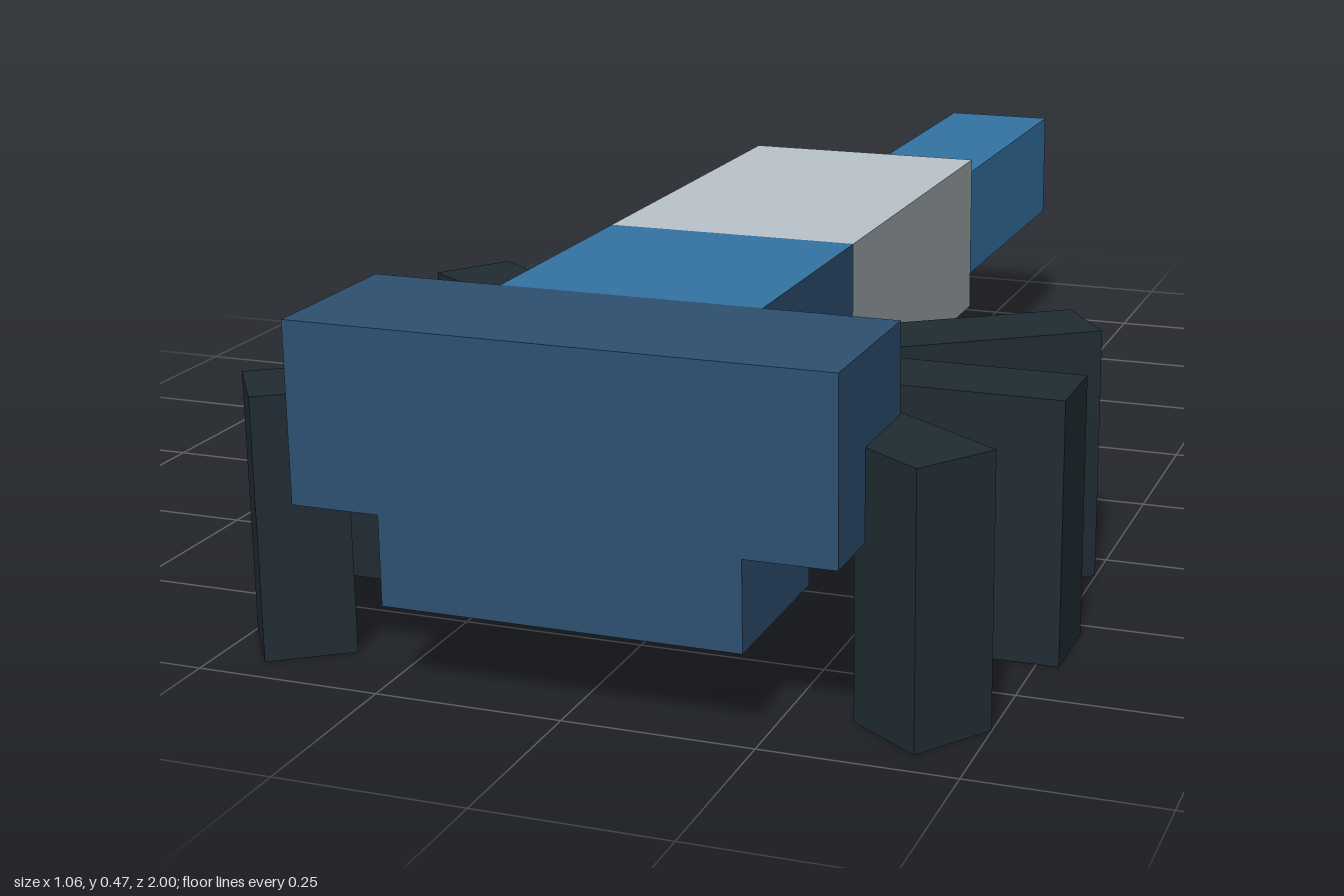
import * as THREE from 'three';

const U = 1 / 17; // modelling unit
const mat = (name, color) => {
  const m = new THREE.MeshStandardMaterial({ color });
  m.name = name;
  return m;
};

// Box from minimum and maximum corners, in modelling units
function box(name, [x0, y0, z0], [x1, y1, z1], material) {
  const geo = new THREE.BoxGeometry((x1 - x0) * U, (y1 - y0) * U, (z1 - z0) * U);
  const mesh = new THREE.Mesh(geo, material);
  mesh.name = name;
  mesh.position.set((x0 + x1) / 2 * U, (y0 + y1) / 2 * U, (z0 + z1) / 2 * U);
  return mesh;
}

// Leg that reaches out along +x and then bends straight down
function leg(name, material) {
  const g = new THREE.Group();
  g.name = name;
  g.add(box('upperLeg', [0, 4, -1], [6, 6, 1], material));
  g.add(box('lowerLeg', [4, 0, -1], [6, 4, 1], material));
  return g;
}

export function createModel() {
  const navy = mat('navy', 0x2d4f70);
  const blue = mat('blue', 0x3473a3);
  const paleGrey = mat('paleGrey', 0xb9c3c9);
  const midGrey = mat('midGrey', 0x9aa2a5);
  const charcoal = mat('charcoal', 0x202b32);
  const model = new THREE.Group();
  model.name = 'crawler';

  // Wide head with a narrower jaw
  model.add(box('head', [-6, 4, 13], [6, 8, 17], navy));
  model.add(box('jaw', [-4, 2, 13], [4, 4, 17], navy));

  // Thorax with a brighter top, grey back section with a paler top
  model.add(box('thorax', [-3, 2, 7], [3, 8, 13], [navy, navy, blue, navy, navy, navy]));
  model.add(box('abdomen', [-3, 4, -3], [3, 8, 7],
    [midGrey, midGrey, paleGrey, midGrey, midGrey, midGrey]));

  // Long tail running under the abdomen
  model.add(box('tail', [-1.5, 3.5, -17], [1.5, 6.5, 7], blue));

  // Three legs on each side, the outer pairs splayed
  const splay = THREE.MathUtils.degToRad(35);
  const rows = [['front', 12, -splay], ['middle', 10, 0], ['rear', 8, splay]];
  for (const [row, z, angle] of rows) {
    for (const side of [1, -1]) {
      const l = leg(`${row}${side > 0 ? 'Left' : 'Right'}Leg`, charcoal);
      l.position.set(side * 3 * U, 0, z * U);
      l.rotation.y = side > 0 ? angle : Math.PI - angle;
      model.add(l);
    }
  }
  return model;
}
